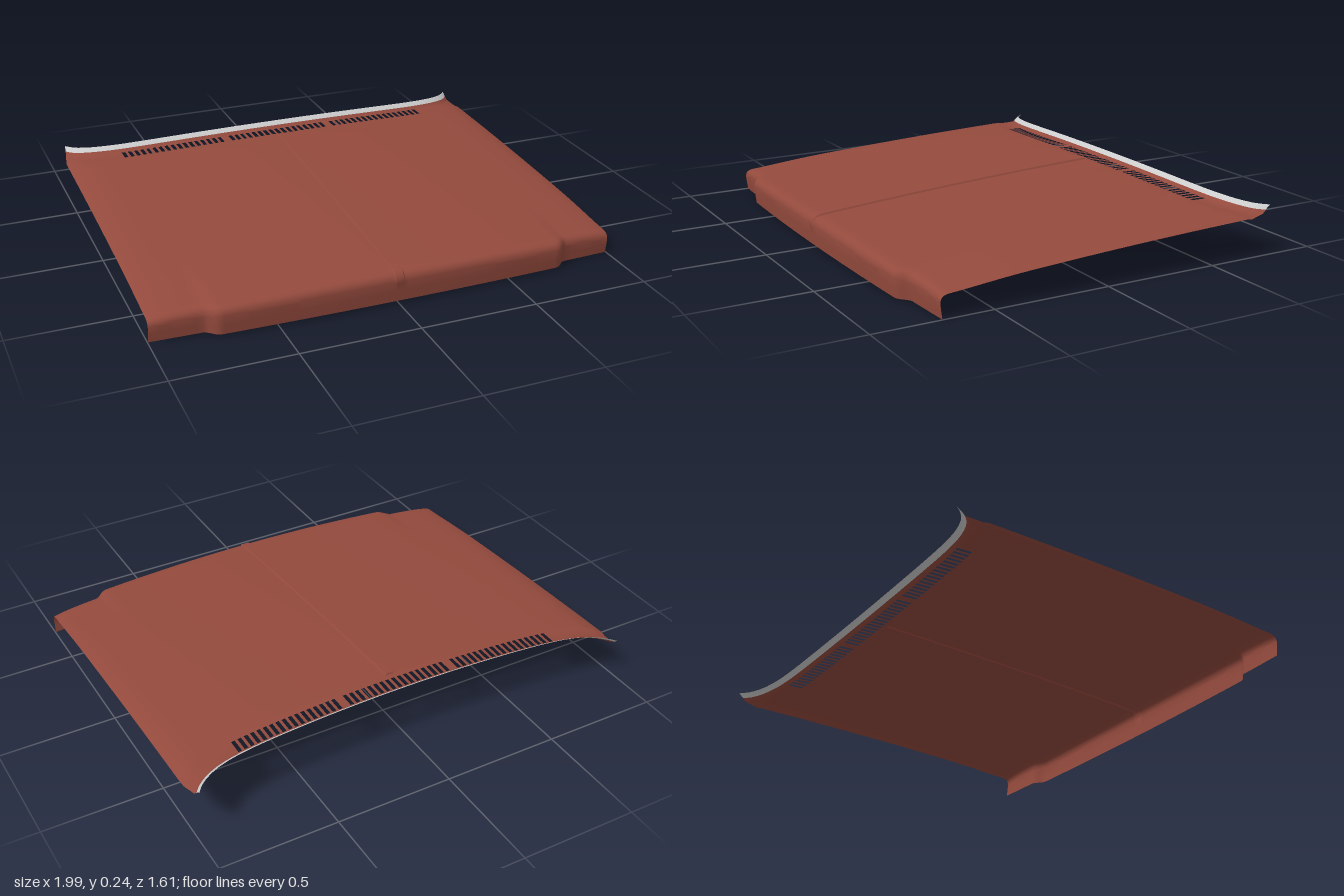
import * as THREE from 'three';
import { toCreasedNormals } from 'three/addons/utils/BufferGeometryUtils.js';

const { lerp, smoothstep } = THREE.MathUtils;
const SLOT_PITCH = 0.0285, SLOT_HALF = 0.008, SLOT_GROUPS = [-0.51, 0, 0.51];

// Plan outline: stepped front edge and bowed rear edge with swept corners
const step = x => smoothstep(Math.abs(x), 0.73, 0.79);
const frontZ = x => 0.8 - 0.04 * x * x - 0.038 * step(x);
const rearZ = x => -0.67 - 0.04 * x * x - 0.095 * Math.abs(x) ** 10;

// Height of the crowned skin, rolled down along the sides
function skinY(x, z) {
  const roll = (0.016 - 0.008 * z) * Math.abs(x) ** 20 * (1 - 0.8 * smoothstep(-z, 0.7, 0.8));
  const shoulder = 0.007 * step(x) * smoothstep(z, 0.35, 0.72);
  return 0.19 - 0.055 * z - 0.018 * z * z - 0.033 * x * x - roll - shoulder;
}

const ridge = x => (Math.abs(x) < 0.018 ? 0.007 : 0);

// Rows run from the bottom of the front lip to the rear edge; each maps x to a point
const LIP = [[0.008, 0], [0.003, 0.35], [0, 0.64], [0, 0.68], [0.003, 0.8], [0.01, 0.89],
  [0.02, 0.945], [0.035, 0.972], [0.05, 0.987]];
const REAR = [[0.127, 0], [0.105, -0.004], [0.04, -0.008], [0.03, -0.003], [0.022, 0.003],
  [0.012, 0.011], [0, 0.018]]; // distance from the rear edge, height change
const BODY_ROWS = 20;

function makeRows() {
  const rows = LIP.map(([d, w], i) => x => {
    const z = frontZ(x) - d;
    const top = skinY(x, frontZ(x) - 0.07);
    const bump = i > 2 ? ridge(x) : 0;
    return [x, lerp(0.012 * (1 - x * x), top, w) + bump * w * w, z + bump * (1 - w)];
  });
  for (let i = 0; i <= BODY_ROWS; i++) {
    rows.push(x => {
      const z = lerp(frontZ(x) - 0.07, rearZ(x) + 0.131, i / BODY_ROWS);
      return [x, skinY(x, z) + ridge(x), z];
    });
  }
  for (const [d, h] of REAR) {
    rows.push(x => {
      const z = rearZ(x) + d;
      return [x, skinY(x, z) + h, z];
    });
  }
  return rows;
}

// Columns fall on the slot edges, the ridge edges and the shaped sides
function makeColumns() {
  const cols = [0];
  for (const x of [0.016, 0.0205, 0.255, 0.752, 0.76, 0.77, 0.78, 0.79, 0.82, 0.86, 0.9, 0.935,
    0.96, 0.975, 0.985, 0.993, 1]) cols.push(x, -x);
  for (const g of SLOT_GROUPS) {
    for (let i = -8; i <= 8; i++) {
      cols.push(g + i * SLOT_PITCH - SLOT_HALF, g + i * SLOT_PITCH + SLOT_HALF);
    }
  }
  return cols.sort((a, b) => a - b).filter((x, i, all) => i === 0 || x - all[i - 1] > 0.0004);
}

const inSlot = x => SLOT_GROUPS.some(g => {
  const k = Math.round((x - g) / SLOT_PITCH);
  return Math.abs(k) <= 8 && Math.abs(x - g - k * SLOT_PITCH) < SLOT_HALF;
});

// Sheet through the given rows and columns, leaving out cells that are open
function sheet(rows, cols, isOpen = () => false) {
  const position = [], index = [];
  for (const row of rows) {
    for (const c of cols) {
      const [x, y, z] = row(c);
      const taper = 0.022 * smoothstep(-z, 0.66, 0.82) * Math.abs(x) ** 8;
      position.push(x * (0.997 - taper), y, z);
    }
  }
  const n = cols.length;
  for (let r = 0; r < rows.length - 1; r++) {
    for (let c = 0; c < n - 1; c++) {
      if (isOpen(r, (cols[c] + cols[c + 1]) / 2)) continue;
      const a = r * n + c;
      index.push(a, a + 1, a + n, a + 1, a + n + 1, a + n);
    }
  }
  const geometry = new THREE.BufferGeometry();
  geometry.setAttribute('position', new THREE.Float32BufferAttribute(position, 3));
  geometry.setIndex(index);
  return toCreasedNormals(geometry, 0.6);
}

export function createModel() {
  const group = new THREE.Group();
  group.name = 'hood';
  const rows = makeRows(), cols = makeColumns();
  const slotRow = LIP.length + BODY_ROWS + 2;
  const stripStart = rows.length - 3;

  // Painted skin with front lip, centre ridge and vent slots
  const panel = new THREE.Mesh(
    sheet(rows.slice(0, stripStart + 1), cols, (r, x) => r === slotRow && inSlot(x)),
    new THREE.MeshStandardMaterial({ color: 0x944a3d, side: THREE.DoubleSide }));
  panel.name = 'hoodPanel';

  // Upturned strip along the rear edge
  const strip = new THREE.Mesh(
    sheet(rows.slice(stripStart), cols),
    new THREE.MeshStandardMaterial({ color: 0xcccccc, side: THREE.DoubleSide }));
  strip.name = 'rearStrip';

  group.add(panel, strip);
  return group;
}
